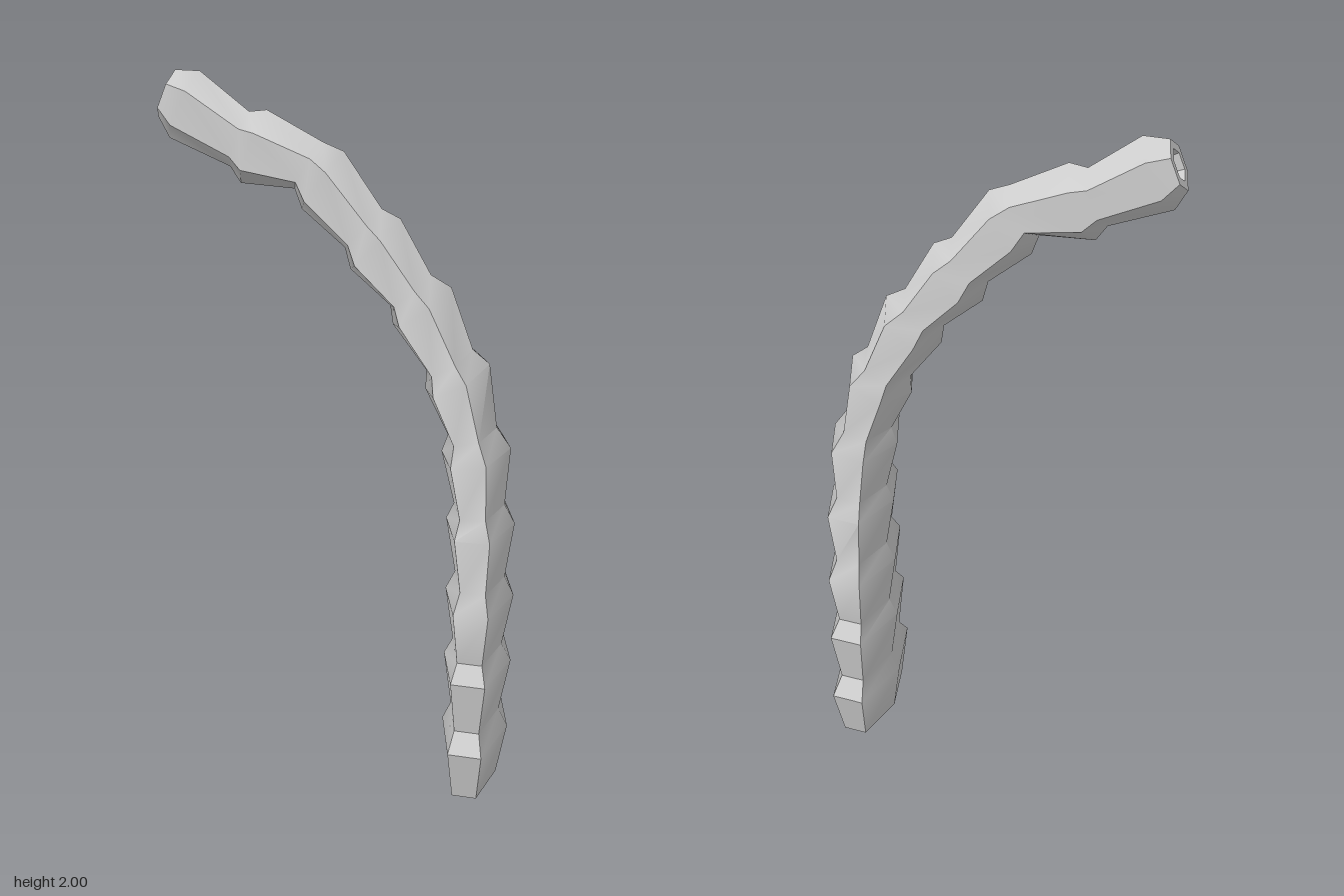
import * as THREE from 'three';
import { toCreasedNormals } from 'three/addons/utils/BufferGeometryUtils.js';

const SIDES = 6;

// Rings from the ground up: centre x, y, z, tilt in degrees, half width, half depth.
// Each segment flares to a wide collar, then steps in to a narrow neck.
const RINGS = [
  [0.39, 0.00, 0, 0, 0.070, 0.150],
  [0.392, 0.16, 0, 0, 0.095, 0.185],
  [0.39, 0.215, 0, 0, 0.070, 0.145],
  [0.392, 0.38, 0, 0, 0.096, 0.170],
  [0.39, 0.43, 0, 0, 0.070, 0.135],
  [0.391, 0.59, 0, 0, 0.096, 0.157],
  [0.39, 0.645, 0, 0, 0.070, 0.124],
  [0.386, 0.81, 0, 1, 0.095, 0.145],
  [0.381, 0.86, 0, 4, 0.070, 0.114],
  [0.367, 1.02, 0, 8, 0.095, 0.132],
  [0.355, 1.073, 0.001, 14, 0.068, 0.101],
  [0.31, 1.226, 0.002, 26, 0.095, 0.121],
  [0.288, 1.27, 0.002, 29, 0.070, 0.094],
  [0.211, 1.414, 0.003, 36, 0.095, 0.108],
  [0.180, 1.455, 0.004, 40, 0.070, 0.084],
  [0.085, 1.573, 0.005, 47, 0.097, 0.095],
  [0.053, 1.613, 0.006, 48, 0.073, 0.074],
  [-0.054, 1.733, 0.008, 54, 0.096, 0.082],
  [-0.09, 1.77, 0.010, 58, 0.073, 0.063],
  [-0.235, 1.812, 0.014, 69, 0.103, 0.066],
  [-0.273, 1.83, 0.014, 69, 0.077, 0.052],
  [-0.418, 1.912, 0.015, 63, 0.098, 0.055],
  [-0.465, 1.939, 0.015, 67, 0.066, 0.040],
  // hollow in the tip
  [-0.465, 1.939, 0.015, 67, 0.042, 0.025],
  [-0.425, 1.920, 0.015, 67, 0.036, 0.021],
];

function buildTrunk() {
  const positions = [];
  const index = [];

  // Hexagonal cross-sections, turned about z to follow the bend
  for (const [cx, cy, cz, tilt, rx, rz] of RINGS) {
    const a = THREE.MathUtils.degToRad(tilt);
    for (let k = 0; k < SIDES; k++) {
      const t = (k / SIDES) * Math.PI * 2;
      const u = Math.cos(t) * rx;
      const v = (Math.sin(t) / Math.sin(Math.PI / 3)) * rz;
      positions.push(cx + u * Math.cos(a), cy + u * Math.sin(a), cz + v);
    }
  }

  // Side walls
  for (let i = 0; i < RINGS.length - 1; i++) {
    for (let k = 0; k < SIDES; k++) {
      const n = (k + 1) % SIDES;
      const a = i * SIDES + k, b = i * SIDES + n;
      const c = a + SIDES, d = b + SIDES;
      index.push(a, c, b, b, c, d);
    }
  }

  // Flat foot and floor of the hollow
  const last = (RINGS.length - 1) * SIDES;
  for (let k = 1; k < SIDES - 1; k++) {
    index.push(0, k, k + 1);
    index.push(last, last + k + 1, last + k);
  }

  const geometry = new THREE.BufferGeometry();
  geometry.setAttribute('position', new THREE.Float32BufferAttribute(positions, 3));
  geometry.setIndex(index);
  return toCreasedNormals(geometry, THREE.MathUtils.degToRad(40));
}

export function createModel() {
  const model = new THREE.Group();
  model.name = 'palmTrunk';
  const trunk = new THREE.Mesh(
    buildTrunk(),
    new THREE.MeshStandardMaterial({ color: 0xcccccc })
  );
  trunk.name = 'trunk';
  model.add(trunk);
  return model;
}
